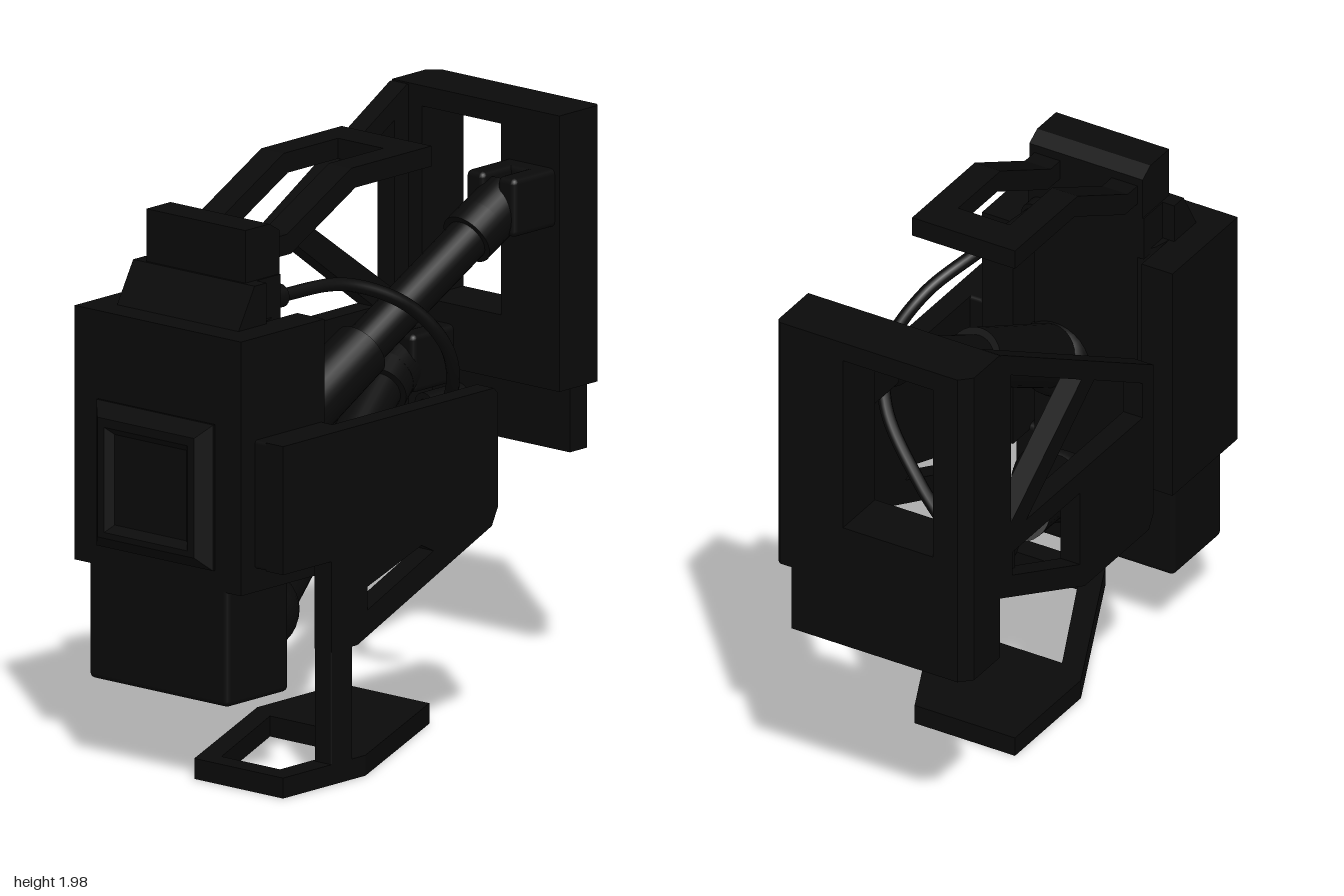
import * as THREE from 'three';
import { RoundedBoxGeometry } from 'three/addons/geometries/RoundedBoxGeometry.js';

const black = new THREE.MeshStandardMaterial({ color: 0x0a0a0a });
black.name = 'matte black';

export function createModel() {
  const model = new THREE.Group();
  const V = (p) => new THREE.Vector3(...p);

  const add = (name, geometry) => {
    const mesh = new THREE.Mesh(geometry, black);
    mesh.name = name;
    model.add(mesh);
    return mesh;
  };

  // Box from its limits on each axis, with slightly rounded edges
  const box = (name, [x0, x1], [y0, y1], [z0, z1], r = 0.012) => {
    const g = new RoundedBoxGeometry(x1 - x0, y1 - y0, z1 - z0, 2, r);
    g.translate((x0 + x1) / 2, (y0 + y1) / 2, (z0 + z1) / 2);
    return add(name, g);
  };

  // Outline with holes, extruded along +z
  const slab = (points, depth, holes = [], bevel = 0) => {
    const toV2 = (list) => list.map(([a, b]) => new THREE.Vector2(a, b));
    const shape = new THREE.Shape(toV2(points));
    for (const h of holes) shape.holes.push(new THREE.Path(toV2(h)));
    return new THREE.ExtrudeGeometry(shape, {
      depth, bevelEnabled: bevel > 0, bevelThickness: bevel, bevelSize: bevel, bevelOffset: -bevel, bevelSegments: 1,
    });
  };
  const rect = (a0, a1, b0, b1) => [[a0, b0], [a1, b0], [a1, b1], [a0, b1]];

  // Floor plan in x and z, raised from y0 to y1
  const plan = (name, points, y0, y1, holes) => {
    const g = slab(points, y1 - y0, holes);
    g.rotateX(Math.PI / 2);
    add(name, g.translate(0, y1, 0));
  };

  // Cylinder between two points
  const rod = (name, a, b, r0, r1 = r0) => {
    const dir = V(b).sub(V(a));
    const mesh = add(name, new THREE.CylinderGeometry(r1, r0, dir.length(), 28));
    mesh.position.copy(V(a).add(V(b)).multiplyScalar(0.5));
    mesh.quaternion.setFromUnitVectors(new THREE.Vector3(0, 1, 0), dir.normalize());
  };
  const ball = (name, p, r) => add(name, new THREE.SphereGeometry(r, 24, 16)).position.copy(V(p));
  const along = (a, b, t) => a.map((v, i) => v + (b[i] - v) * t);

  // Main housing, with a recessed middle between two side rails
  plan('housing', [
    [-0.94, 0.37], [-0.525, 0.37], [-0.525, 0.25], [-0.7, 0.25], [-0.64, 0.235], [-0.58, 0.2],
    [-0.58, -0.2], [-0.64, -0.235], [-0.7, -0.25], [-0.525, -0.25], [-0.525, -0.37], [-0.94, -0.37],
  ], 0.7, 1.57);
  box('lowerHousing', [-0.94, -0.63], [0.305, 0.72], [-0.31, 0.31], 0.02);

  // Raised back panel with sloped rim and a shallow recess
  const backPanel = slab(rect(-0.26, 0.26, 0.77, 1.27), 0.01, [rect(-0.14, 0.14, 0.88, 1.15)], 0.045);
  backPanel.rotateY(Math.PI / 2);
  backPanel.translate(-0.955, 0, 0);
  add('backPanel', backPanel);
  box('backPanelInset', [-0.975, -0.92], [0.84, 1.19], [-0.18, 0.18], 0.005);

  // Shoulder and head on top of the housing
  for (const [xEnd, half] of [[-0.58, 0.225], [-0.7, 0.27]]) {
    const shoulder = slab([[-0.86, 1.55], [-0.84, 1.57], [-0.76, 1.71], [xEnd, 1.71], [xEnd, 1.55]], half * 2);
    add('shoulder', shoulder.translate(0, 0, -half));
  }
  const head = slab([[-0.75, 1.7], [-0.75, 1.89], [-0.63, 1.89], [-0.58, 1.86], [-0.58, 1.7]], 0.44);
  add('head', head.translate(0, 0, -0.22));

  // Upper handle: two bent arms and a cross bar
  const arm = [[-0.6, 1.76], [-0.5, 1.76], [-0.18, 1.925], [0.2, 1.925], [0.2, 1.995], [-0.2, 1.995], [-0.52, 1.83], [-0.6, 1.83]];
  for (const z of [-0.2, 0.1]) add('handleArm', slab(arm, 0.1).translate(0, 0, z));
  add('handleBar', slab(rect(0.07, 0.2, 1.925, 1.995), 0.24).translate(0, 0, -0.12));

  // Front side panel, its mount and the post down to the foot
  const frontPanel = slab(
    [[-0.87, 0.78], [-0.63, 0.78], [-0.63, 0.47], [-0.5, 0.47], [0.17, 0.75], [0.2, 0.81], [0.2, 1.2], [0.18, 1.22], [-0.87, 1.22]],
    0.075, [[[-0.45, 0.58], [-0.12, 0.72], [-0.18, 0.75], [-0.45, 0.66]]]);
  add('frontPanel', frontPanel.translate(0, 0, 0.42));
  box('frontPanelMount', [-0.87, -0.53], [0.78, 1.22], [0.34, 0.44]);
  box('footPost', [-0.63, -0.525], [0.03, 0.6], [0.42, 0.495], 0.004);

  // Foot plate with an opening
  plan('foot',
    [[-0.87, 0.495], [-0.87, 0.1], [-0.22, -0.2], [0.2, -0.2], [0.2, 0.19], [-0.46, 0.495]],
    0.015, 0.085, [[[-0.79, 0.41], [-0.79, 0.15], [-0.28, -0.09], [-0.28, 0.2], [-0.55, 0.41]]]);

  // End plate around a window, with a chamfered rear corner
  const rearEnd = [[0.78, -0.495], [0.945, -0.495], [0.985, -0.455]];
  const fullEnd = [...rearEnd, [0.985, 0.235], [0.97, 0.25], [0.78, 0.25]];
  plan('endPlateBase', fullEnd, 1.05, 1.27);
  plan('endPlateTop', fullEnd, 1.925, 1.995);
  plan('endPlateRearColumn', [...rearEnd, [0.985, -0.36], [0.78, -0.36]], 1.27, 1.925);
  plan('endPlateFrontColumn', [[0.78, -0.01], [0.985, -0.01], [0.985, 0.235], [0.97, 0.25], [0.78, 0.25]], 1.27, 1.925);
  plan('endPlateSkirt', [...rearEnd, [0.985, 0.19], [0.9, 0.19], [0.9, -0.42], [0.78, -0.42]], 0.81, 1.05);

  // Rear truss panel joined to the end plate
  const truss = slab(
    [[-0.2, 0.85], [-0.17, 0.8], [0.24, 0.8], [0.8, 1.05], [0.8, 1.99], [0.77, 1.99], [-0.2, 1.43]],
    0.075, [
      [[-0.13, 1.26], [0.61, 1.26], [0.18, 1.575], [-0.13, 1.395]],
      [[0.71, 1.3], [0.71, 1.88], [0.26, 1.62]],
      [[0.27, 0.9], [0.7, 1.09], [0.7, 1.18], [0.27, 1.18]],
    ]);
  add('rearTruss', truss.translate(0, 0, -0.495));

  // Struts between the housing and the end plate, each ending in a fork
  const struts = [
    { name: 'upperStrut', a: [-0.6, 1.05, 0.12], b: [0.52, 1.64, 0.12], end: [0.66, 1.71, 0.12], sleeve: 0.48 },
    { name: 'lowerStrut', a: [-0.6, 0.55, 0.14], b: [0.52, 1.05, -0.29], end: [0.66, 1.1, -0.33], sleeve: 0.5 },
  ];
  for (const { name, a, b, end, sleeve } of struts) {
    const [, y, z] = end;
    rod(name, a, b, 0.075);
    rod(name + 'Sleeve', a, along(a, b, sleeve), 0.11, 0.1);
    rod(name + 'Collar', along(a, b, 0.95), along(a, b, 1.02), 0.095);
    ball(name + 'Socket', a, 0.14);
    ball(name + 'Joint', b, 0.085);
    rod(name + 'Elbow', along(b, end, 0.1), end, 0.095);
    for (const s of [-0.07, 0.07]) box(name + 'Fork', [0.58, 0.8], [y - 0.1, y + 0.1], [z + s - 0.04, z + s + 0.04], 0.02);
    box(name + 'ForkBase', [0.72, 0.8], [y - 0.1, y + 0.1], [z - 0.1, z + 0.1], 0.02);
  }

  // Hose with its two connectors
  const path = new THREE.CatmullRomCurve3([
    [-0.56, 1.62, 0.18], [-0.25, 1.61, 0.22], [-0.05, 1.52, 0.31], [0.08, 1.37, 0.365], [0.17, 1.2, 0.32],
    [0.25, 1.0, 0.14], [0.32, 0.9, -0.02], [0.45, 0.885, -0.18], [0.6, 0.91, -0.27], [0.79, 0.93, -0.3],
  ].map(V));
  add('hose', new THREE.TubeGeometry(path, 80, 0.023, 10));
  rod('hoseConnector', [-0.6, 1.62, 0.18], [-0.53, 1.62, 0.18], 0.04);
  rod('hoseConnector', [0.72, 0.925, -0.3], [0.92, 0.925, -0.3], 0.04);

  return model;
}
